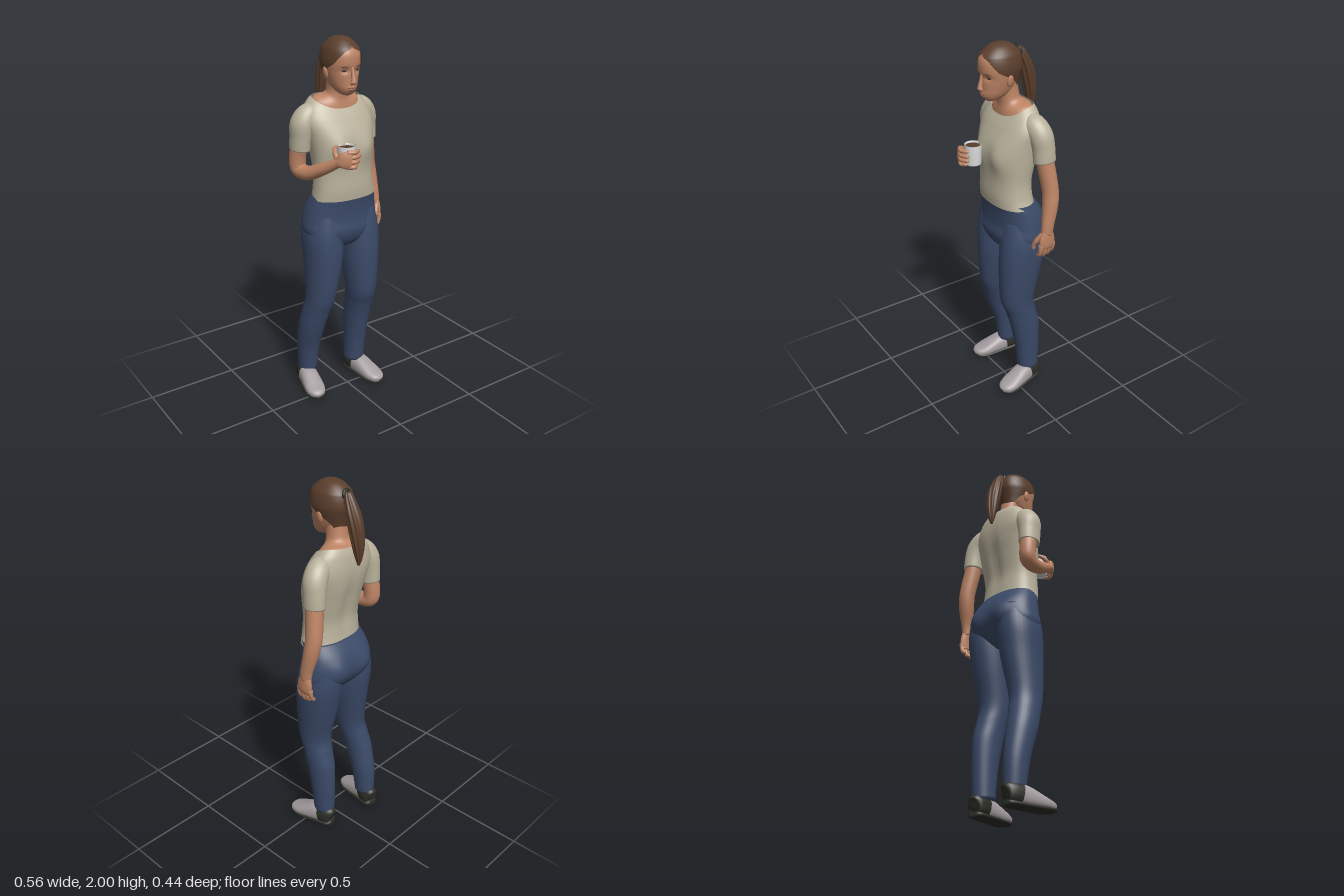
import * as THREE from 'three';

const mat = (name, color) => {
  const m = new THREE.MeshStandardMaterial({ color, side: THREE.DoubleSide });
  m.name = name;
  return m;
};

// Catmull-Rom through rows of numbers
function sample(rows, t) {
  const f = t * (rows.length - 1), i = Math.min(Math.floor(f), rows.length - 2), u = f - i;
  const at = k => rows[Math.max(0, Math.min(rows.length - 1, k))];
  const [p, q, r, s] = [at(i - 1), at(i), at(i + 1), at(i + 2)];
  return q.map((_, k) => 0.5 * (2 * q[k] + (r[k] - p[k]) * u +
    (2 * p[k] - 5 * q[k] + 4 * r[k] - s[k]) * u * u + (3 * q[k] - p[k] - 3 * r[k] + s[k]) * u ** 3));
}

// Skin over cross-sections [x, y, z, a, b, tilt, gap].
// Without ref the rings lie flat and rise in y; with ref they follow the path, b pointing along ref.
function loft(rows, { ref, n = 2, seg = 32, steps = 32, round = 0, cap = true, open = false, shape, flute } = {}) {
  const pos = [], idx = [], cols = open ? seg + 1 : seg;
  for (let j = 0; j <= steps; j++) {
    const t = j / steps, [x, y, z, a, b, tilt = 0, gap = 0] = sample(rows, t);
    const c = new THREE.Vector3(x, y, z);
    let U = new THREE.Vector3(1, 0, 0), V = new THREE.Vector3(0, 0, 1);
    if (ref) {
      const p0 = sample(rows, Math.max(0, t - 0.01)), p1 = sample(rows, Math.min(1, t + 0.01));
      const T = new THREE.Vector3(p1[0] - p0[0], p1[1] - p0[1], p1[2] - p0[2]).normalize();
      V = new THREE.Vector3(...ref);
      V.addScaledVector(T, -V.dot(T)).normalize();
      U = T.clone().cross(V);
    }
    const end = round && t > 1 - round ? Math.sqrt(Math.max(0.01, 1 - ((t - 1 + round) / round) ** 2)) : 1;
    for (let i = 0; i < cols; i++) {
      const th = gap + (i / seg) * (2 * Math.PI - 2 * gap), s = Math.sin(th), k = Math.cos(th);
      const r = end * (flute ? 1 + flute * Math.cos(th * 9 + t * 5) : 1);
      const su = Math.sign(s) * Math.abs(s) ** (2 / n) * a * r, cv = Math.sign(k) * Math.abs(k) ** (2 / n) * b * r;
      const p = c.clone().addScaledVector(U, su).addScaledVector(V, cv);
      p.y += tilt * cv + Math.abs(tilt) * 0.07 * s * s;
      if (shape) shape(p, c);
      pos.push(p.x, p.y, p.z);
    }
  }
  for (let j = 0; j < steps; j++) for (let i = 0; i < seg; i++) {
    const a = j * cols + i, b = j * cols + (i + 1) % cols;
    idx.push(a, b, b + cols, a, b + cols, a + cols);
  }
  if (cap) for (const j of [0, steps]) {
    const mid = pos.length / 3, [x, y, z] = rows[j ? rows.length - 1 : 0];
    pos.push(x, y, z);
    for (let i = 0; i < seg; i++) {
      const a = j * cols + i, b = j * cols + (i + 1) % cols;
      j ? idx.push(a, b, mid) : idx.push(b, a, mid);
    }
  }
  const g = new THREE.BufferGeometry();
  g.setAttribute('position', new THREE.Float32BufferAttribute(pos, 3));
  g.setIndex(idx);
  g.computeVertexNormals();
  return g;
}

const bump = (p, x, y, sx, sy) => Math.exp(-(((p.x - x) / sx) ** 2) - ((p.y - y) / sy) ** 2);

export function createModel() {
  const model = new THREE.Group();
  const skin = mat('skin', 0xbd8465), shirt = mat('shirt cloth', 0xbab29c), denim = mat('trouser cloth', 0x3b4a68);
  const shoe = mat('shoe grey', 0xa59da0), dark = mat('dark rubber', 0x2c2e26), hair = mat('hair brown', 0x5a3e2c);
  const white = mat('cup white', 0xdcdcdc), lip = mat('lip', 0x935a49);
  const add = (name, geo, m, parent = model) => {
    const mesh = new THREE.Mesh(geo, m);
    mesh.name = name;
    parent.add(mesh);
    return mesh;
  };
  const ball = (name, x, y, z, sx, sy, sz, m) => {
    const b = add(name, new THREE.SphereGeometry(1, 20, 14), m);
    b.position.set(x, y, z);
    b.scale.set(sx, sy, sz);
    return b;
  };

  // Shirt body up to the scooped neckline
  add('shirtBody', loft([
    [-0.01, 1.165, -0.025, 0.184, 0.108, 0], [-0.016, 1.22, -0.02, 0.172, 0.108, 0],
    [-0.018, 1.3, -0.02, 0.166, 0.106, 0], [-0.018, 1.4, -0.03, 0.174, 0.115, 0],
    [-0.022, 1.5, -0.043, 0.187, 0.123, 0], [-0.028, 1.58, -0.062, 0.2, 0.11, 0],
    [-0.03, 1.635, -0.068, 0.175, 0.096, -0.2], [-0.03, 1.667, -0.068, 0.135, 0.082, -0.35],
  ], {
    n: 2.3, seg: 48, steps: 48, cap: false,
    shape: (p, c) => {
      if (p.z > c.z) for (const s of [-1, 1]) p.z += 0.022 * bump(p, -0.018 + s * 0.08, 1.43, 0.06, 0.07);
      else p.z += 0.014 * bump(p, -0.018, 1.4, 0.03, 0.17);
    },
  }), shirt);

  // Neck and upper chest
  add('neck', loft([
    [-0.03, 1.655, -0.068, 0.131, 0.079, -0.35], [-0.031, 1.672, -0.066, 0.115, 0.074, -0.3],
    [-0.033, 1.695, -0.058, 0.072, 0.062, -0.15], [-0.034, 1.73, -0.048, 0.056, 0.056, 0],
    [-0.038, 1.8, -0.035, 0.056, 0.058, 0],
  ], { n: 2.1, cap: false }), skin);

  // Head with brow, eye sockets and cheeks
  const X = -0.042;
  const skull = [
    [X, 1.716, 0.052, 0.018, 0.02], [X, 1.728, 0.044, 0.04, 0.044], [X, 1.755, 0.025, 0.06, 0.075],
    [X, 1.79, 0.01, 0.073, 0.092], [X, 1.83, 0.001, 0.083, 0.102], [X, 1.88, -0.002, 0.09, 0.112],
    [X, 1.925, -0.002, 0.085, 0.108], [X, 1.965, -0.004, 0.064, 0.083], [X, 1.988, -0.005, 0.036, 0.048],
    [X, 1.995, -0.005, 0.008, 0.01],
  ];
  add('head', loft(skull, {
    n: 2.15, seg: 64, steps: 70,
    shape: (p, c) => {
      if (p.z < c.z + 0.03) return;
      for (const s of [-1, 1]) p.z -= 0.01 * bump(p, X + s * 0.036, 1.842, 0.02, 0.013);
      p.z += 0.006 * bump(p, X, 1.75, 0.025, 0.015);
    },
  }), skin);
  add('nose', loft([
    [X, 1.862, 0.1, 0.008, 0.008], [X, 1.83, 0.106, 0.009, 0.01], [X, 1.8, 0.113, 0.012, 0.012],
    [X, 1.783, 0.114, 0.017, 0.013], [X, 1.773, 0.104, 0.012, 0.007],
  ].reverse(), { seg: 16, steps: 16 }), skin);
  ball('upperLip', X, 1.757, 0.099, 0.024, 0.004, 0.009, lip);
  ball('lowerLip', X, 1.748, 0.098, 0.02, 0.005, 0.009, lip);
  for (const s of [-1, 1]) {
    ball('eye', X + s * 0.036, 1.842, 0.085, 0.014, 0.006, 0.008, dark);
    ball('eyebrow', X + s * 0.038, 1.863, 0.095, 0.02, 0.0035, 0.008, hair).rotation.set(0, s * 0.3, -s * 0.1);
    ball('ear', X + s * 0.089, 1.826, -0.004, 0.009, 0.031, 0.018, skin).rotation.z = -s * 0.18;
  }

  // Hair cap with an open front, tie and ponytail
  add('hair', loft([
    [X, 1.775, 0.004, 0.074, 0.098, 0, 2.4], [X, 1.81, 0.004, 0.083, 0.106, 0, 2.05],
    [X, 1.845, 0, 0.091, 0.112, 0, 1.55], [X, 1.875, -0.002, 0.096, 0.118, 0, 1.05],
    [X, 1.905, -0.002, 0.094, 0.117, 0, 0.78], [X, 1.932, -0.002, 0.088, 0.112, 0, 0.5],
    [X, 1.952, -0.003, 0.08, 0.102, 0, 0.04], [X, 1.98, -0.004, 0.056, 0.071, 0, 0],
    [X, 1.996, -0.005, 0.03, 0.038, 0, 0], [X, 2.0, -0.005, 0.002, 0.002, 0, 0],
  ], { n: 2.1, seg: 64, steps: 50, cap: false, open: true }), hair);
  const tie = add('hairTie', new THREE.TorusGeometry(0.02, 0.01, 10, 24), dark);
  tie.position.set(-0.034, 1.945, -0.107);
  tie.rotation.x = 0.25;
  add('ponytail', loft([
    [-0.038, 1.605, -0.187, 0.006, 0.006], [-0.037, 1.65, -0.188, 0.02, 0.02], [-0.035, 1.72, -0.182, 0.033, 0.032],
    [-0.033, 1.8, -0.168, 0.039, 0.038], [-0.032, 1.87, -0.15, 0.037, 0.034], [-0.032, 1.93, -0.127, 0.026, 0.026],
    [-0.033, 1.96, -0.115, 0.014, 0.016],
  ], { seg: 72, steps: 40, flute: 0.07 }), hair);

  // Trousers: hips and legs
  add('hips', loft([
    [-0.01, 0.885, -0.04, 0.07, 0.06], [-0.012, 0.92, -0.045, 0.17, 0.1], [-0.013, 0.98, -0.055, 0.217, 0.132],
    [-0.013, 1.05, -0.062, 0.214, 0.132], [-0.012, 1.12, -0.052, 0.2, 0.124], [-0.01, 1.185, -0.028, 0.18, 0.108],
  ], {
    n: 2.3, seg: 56, steps: 36,
    shape: (p, c) => {
      if (p.z < c.z) for (const s of [-1, 1]) p.z -= 0.02 * bump(p, -0.012 + s * 0.095, 1.04, 0.06, 0.07);
    },
  }), denim);
  add('leftLeg', loft([
    [0.105, 0.1, -0.09, 0.055, 0.06], [0.108, 0.25, -0.083, 0.06, 0.071], [0.108, 0.4, -0.066, 0.068, 0.085],
    [0.105, 0.5, -0.04, 0.073, 0.088], [0.1, 0.6, -0.016, 0.081, 0.097], [0.101, 0.8, -0.035, 0.1, 0.122],
    [0.102, 0.95, -0.052, 0.106, 0.13], [0.095, 1.08, -0.062, 0.09, 0.115],
  ], { n: 2.1, steps: 48 }), denim);
  add('rightLeg', loft([
    [-0.18, 0.1, -0.148, 0.05, 0.058], [-0.18, 0.25, -0.134, 0.06, 0.07], [-0.177, 0.4, -0.095, 0.069, 0.083],
    [-0.165, 0.5, -0.066, 0.073, 0.086], [-0.15, 0.6, -0.042, 0.078, 0.094], [-0.13, 0.8, -0.047, 0.098, 0.12],
    [-0.126, 0.95, -0.058, 0.106, 0.128], [-0.12, 1.08, -0.064, 0.09, 0.115],
  ], { n: 2.1, steps: 48 }), denim);

  // Shoes: grey upper, dark heel and sole, built heel to toe
  for (const [side, x, z, yaw] of [['left', 0.105, -0.155, 0.17], ['right', -0.178, -0.212, -0.2]]) {
    const foot = new THREE.Group();
    foot.name = side + 'Shoe';
    foot.position.set(x, 0, z);
    foot.rotation.y = yaw;
    model.add(foot);
    const up = { ref: [0, 1, 0], n: 2.4, steps: 24 };
    add('heel', loft([[0, 0.07, 0, 0.02, 0.03], [0, 0.072, 0.01, 0.04, 0.049],
      [0, 0.07, 0.04, 0.049, 0.054], [0, 0.066, 0.085, 0.05, 0.054]], up), dark, foot);
    add('upper', loft([[0, 0.066, 0.08, 0.05, 0.055], [0, 0.06, 0.12, 0.052, 0.052], [0, 0.048, 0.17, 0.055, 0.042],
      [0, 0.037, 0.22, 0.055, 0.031], [0, 0.03, 0.262, 0.04, 0.022], [0, 0.025, 0.28, 0.012, 0.01]], up), shoe, foot);
    add('sole', loft([[0, 0.024, 0, 0.022, 0.012], [0, 0.022, 0.02, 0.044, 0.016], [0, 0.018, 0.1, 0.05, 0.015],
      [0, 0.013, 0.2, 0.056, 0.013], [0, 0.014, 0.255, 0.044, 0.013], [0, 0.017, 0.283, 0.014, 0.009]], up), dark, foot);
  }

  // Sleeves and arms
  const limb = (name, pts, m, opt = {}) =>
    add(name, loft(pts.map(p => p.length < 5 ? [...p, p[3]] : p), { ref: [0, 0, 1], seg: 24, steps: 28, ...opt }), m);
  limb('leftSleeve', [[0.08, 1.63, -0.075, 0.04], [0.135, 1.612, -0.085, 0.058], [0.175, 1.565, -0.098, 0.062],
    [0.19, 1.5, -0.107, 0.055, 0.06], [0.196, 1.432, -0.11, 0.052, 0.06]], shirt);
  limb('rightSleeve', [[-0.14, 1.63, -0.07, 0.04], [-0.188, 1.612, -0.075, 0.058], [-0.222, 1.565, -0.08, 0.063, 0.068],
    [-0.232, 1.5, -0.085, 0.054, 0.066], [-0.235, 1.432, -0.09, 0.051, 0.062]], shirt);
  limb('leftArm', [[0.19, 1.48, -0.11, 0.044], [0.202, 1.4, -0.117, 0.046], [0.222, 1.28, -0.131, 0.044],
    [0.234, 1.2, -0.125, 0.042], [0.247, 1.1, -0.104, 0.03, 0.036], [0.25, 1.04, -0.096, 0.025, 0.034]], skin);
  limb('rightArm', [[-0.235, 1.48, -0.09, 0.045], [-0.24, 1.38, -0.108, 0.044], [-0.236, 1.325, -0.098, 0.043],
    [-0.222, 1.318, -0.03, 0.038], [-0.187, 1.36, 0.065, 0.032], [-0.158, 1.4, 0.135, 0.025],
    [-0.148, 1.415, 0.16, 0.024]], skin, { ref: [0, 1, 0.3], steps: 44 });

  // Hanging left hand
  limb('leftPalm', [[0.25, 1.06, -0.097, 0.024, 0.032], [0.254, 1.02, -0.095, 0.021, 0.045],
    [0.255, 0.98, -0.094, 0.018, 0.046], [0.25, 0.955, -0.094, 0.012, 0.04]], skin);
  const tip = { seg: 12, steps: 16, round: 0.2 };
  for (let i = 0; i < 4; i++) {
    const z = -0.056 - i * 0.026, d = [0.008, 0, 0.004, 0.016][i];
    limb('leftFinger', [[0.254, 0.985, z, 0.013], [0.253, 0.945 + d, z, 0.012],
      [0.241, 0.917 + d, z, 0.011], [0.222, 0.905 + d, z, 0.009]], skin, tip);
  }
  limb('leftThumb', [[0.245, 1.04, -0.07, 0.015], [0.226, 1.005, -0.05, 0.014],
    [0.212, 0.975, -0.042, 0.011], [0.212, 0.945, -0.042, 0.009]], skin, tip);

  // Cup with drink, and the right hand wrapped around it
  const cup = new THREE.Group();
  cup.name = 'cup';
  cup.position.set(-0.095, 1.37, 0.128);
  model.add(cup);
  add('cupWall', new THREE.LatheGeometry([[0, 0], [0.038, 0], [0.041, 0.005], [0.046, 0.11], [0.042, 0.11], [0.041, 0.098]]
    .map(p => new THREE.Vector2(...p)), 36), white, cup);
  const drink = add('drink', new THREE.CircleGeometry(0.042, 36), hair, cup);
  drink.rotation.x = -Math.PI / 2;
  drink.position.y = 0.1;
  limb('rightPalm', [[-0.154, 1.405, 0.145, 0.024, 0.026], [-0.145, 1.418, 0.17, 0.018, 0.042],
    [-0.122, 1.422, 0.192, 0.014, 0.046], [-0.11, 1.422, 0.196, 0.01, 0.042]], skin, { ref: [0, 1, 0] });
  for (let i = 0; i < 4; i++) {
    const y = 1.386 + i * 0.025, d = [0.018, 0.006, 0, 0.008][i];
    limb('rightFinger', [[-0.13, y, 0.185, 0.012], [-0.1, y, 0.2, 0.012], [-0.072 - d, y, 0.195, 0.011],
      [-0.046 - d, y + 0.002, 0.18, 0.009]], skin, { ...tip, ref: [0, 1, 0] });
  }
  limb('rightThumb', [[-0.156, 1.42, 0.14, 0.015], [-0.155, 1.445, 0.115, 0.013],
    [-0.14, 1.462, 0.09, 0.011], [-0.118, 1.468, 0.075, 0.009]], skin, { ...tip, ref: [0, 1, 0.5] });

  return model;
}
